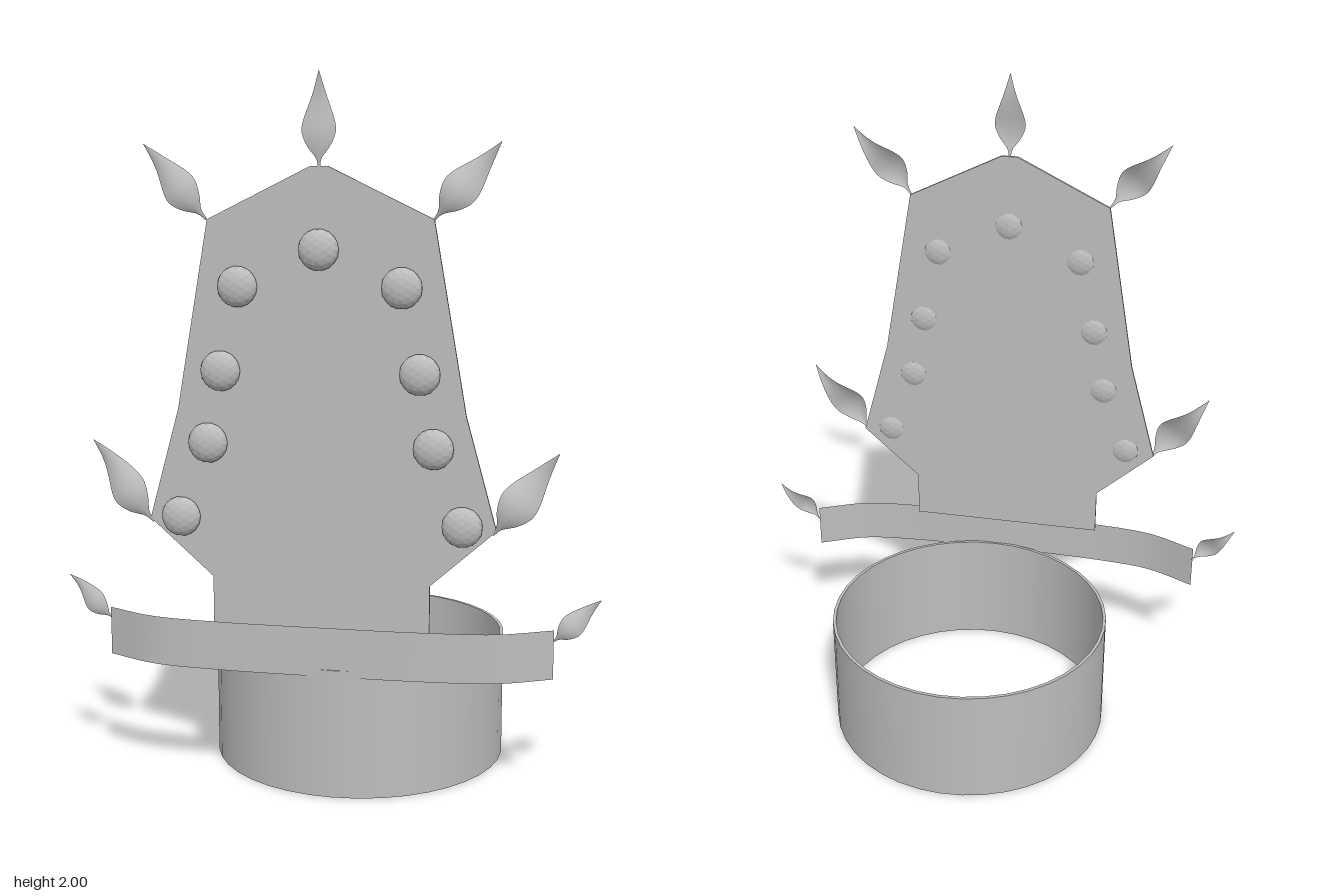
import * as THREE from 'three';
import { mergeGeometries } from 'three/addons/utils/BufferGeometryUtils.js';

// Grid surface from a function (u, v) -> [x, y, z]
function gridSurface(nu, nv, fn) {
  const geo = new THREE.PlaneGeometry(1, 1, nu, nv);
  const pos = geo.attributes.position;
  for (let i = 0; i < pos.count; i++) {
    pos.setXYZ(i, ...fn(pos.getX(i) + 0.5, pos.getY(i) + 0.5));
  }
  geo.computeVertexNormals();
  return geo;
}

export function createModel() {
  const group = new THREE.Group();
  const metal = new THREE.MeshStandardMaterial({ color: 0xbdbdbd });
  metal.name = 'grey metal';
  metal.side = THREE.DoubleSide;
  const facetedMetal = metal.clone();
  facetedMetal.flatShading = true;

  const add = (name, geometry, material = metal) => {
    const mesh = new THREE.Mesh(geometry, material);
    mesh.name = name;
    group.add(mesh);
    return mesh;
  };

  // Thin-walled round base, one lathe strip per wall so the rims stay sharp
  const outer = 0.436, inner = 0.426, top = 0.37;
  const corners = [[outer, 0], [outer, top], [inner, top], [inner, 0]]
    .map(([r, y]) => new THREE.Vector2(r, y));
  const walls = corners.map((p, i) => new THREE.LatheGeometry([p, corners[(i + 1) % 4]], 40));
  add('baseRing', mergeGeometries(walls)).position.set(0.038, 0, -0.008);

  // Tall faceted plate, mirrored from its right half
  const half = [[0.305, 0.475], [0.305, 0.62], [0.485, 0.78], [0.4, 1.09], [0.31, 1.61], [0.025, 1.75]];
  const outline = [...half, ...half.map(([x, y]) => [-x, y]).reverse()];
  const shape = new THREE.Shape(outline.map(([x, y]) => new THREE.Vector2(x, y)));
  add('backPlate', new THREE.ExtrudeGeometry(shape, { depth: 0.009, bevelEnabled: false }))
    .position.z = 0.404;

  // Bowed band across the front, swept back at both ends
  const bow = new THREE.CatmullRomCurve3([
    [-0.64, 0.33], [-0.49, 0.397], [-0.3, 0.419], [0, 0.424], [0.3, 0.419], [0.49, 0.397], [0.64, 0.33],
  ].map(([x, z]) => new THREE.Vector3(x, 0, z)));
  add('frontBand', gridSurface(36, 1, (u, v) => {
    const p = bow.getPoint(u);
    return [p.x, 0.35 + 0.14 * v, p.z];
  }));

  // Flattened round studs
  const stud = new THREE.IcosahedronGeometry(0.056, 2);
  stud.scale(1, 1, 0.52);
  const addStud = (x, y) => add('stud', stud, facetedMetal).position.set(x, y, 0.423);
  addStud(0, 1.53);
  for (const [x, y] of [[0.225, 1.43], [0.275, 1.2], [0.313, 1.0], [0.393, 0.79]]) {
    addStud(x, y);
    addStud(-x, y);
  }

  // Cupped pointed leaf with a short narrow stem, growing along +y
  const widths = new THREE.SplineCurve([
    [0, 0.012], [0.1, 0.03], [0.22, 0.12], [0.36, 0.18], [0.5, 0.165], [0.75, 0.075], [1, 0],
  ].map(([t, w]) => new THREE.Vector2(t, w)));
  const leafGeo = gridSurface(6, 16, (u, v) => {
    const p = widths.getPoint(v);
    const s = 2 * u - 1;
    const bend = 0.06 * Math.sin(Math.PI * 2 * p.x);
    return [s * Math.max(p.y, 0), p.x, bend + 0.25 * Math.max(p.y, 0) * (1 - s * s)];
  });
  const addLeaf = (x0, y0, x1, y1, z) => {
    const leaf = add('leaf', leafGeo);
    leaf.position.set(x0, y0, z);
    leaf.rotation.z = -Math.atan2(x1 - x0, y1 - y0);
    leaf.scale.setScalar(Math.hypot(x1 - x0, y1 - y0));
    return leaf;
  };
  addLeaf(0, 1.745, 0, 2, 0.41).scale.z = 0.1;
  for (const [x0, y0, x1, y1, z] of [
    [0.31, 1.61, 0.485, 1.812, 0.415],
    [0.475, 0.77, 0.65, 0.998, 0.412],
    [0.637, 0.455, 0.768, 0.58, 0.32],
  ]) {
    addLeaf(x0, y0, x1, y1, z);
    addLeaf(-x0, y0, -x1, y1, z);
  }
  return group;
}
